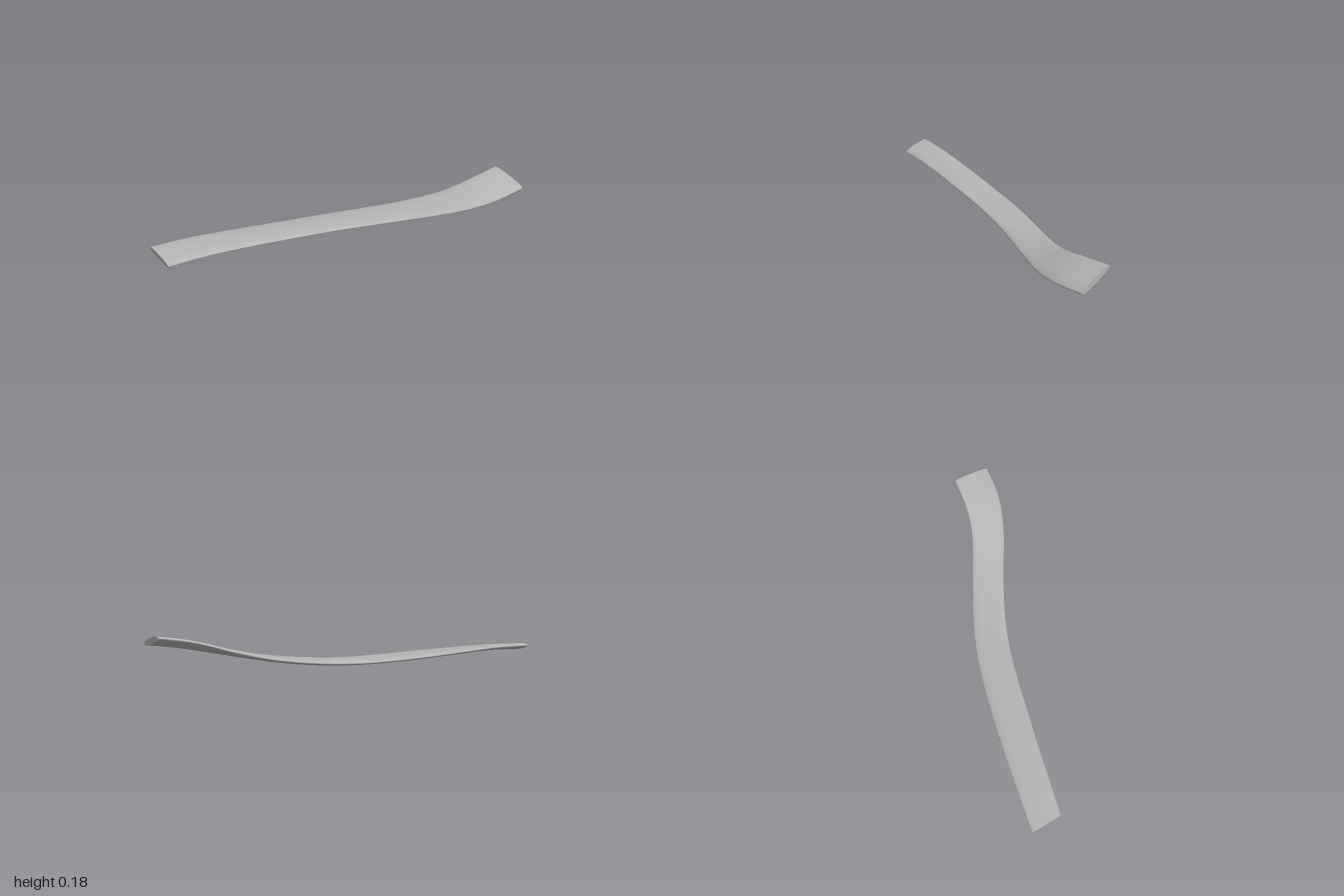
import * as THREE from 'three';

// Edge lines of the blade, from its right end to its left end: [x, y, z]
const FRONT_EDGE = [
  [-0.98, 0.044, -0.167], [-0.8, 0.052, -0.14], [-0.6, 0.047, -0.11], [-0.4, 0.038, -0.075],
  [-0.2, 0.027, -0.04], [0, 0.018, 0.005], [0.2, 0.02, 0.075], [0.4, 0.033, 0.165],
  [0.6, 0.056, 0.262], [0.7, 0.071, 0.302], [0.8, 0.088, 0.33], [0.9, 0.104, 0.342], [1, 0.117, 0.344],
];
const BACK_EDGE = [
  [-1, 0.078, -0.345], [-0.8, 0.074, -0.322], [-0.6, 0.058, -0.298], [-0.4, 0.041, -0.27],
  [-0.2, 0.027, -0.235], [0, 0.02, -0.19], [0.2, 0.025, -0.122], [0.4, 0.045, -0.033],
  [0.6, 0.088, 0.063], [0.7, 0.118, 0.1], [0.8, 0.144, 0.12], [0.9, 0.162, 0.128], [0.975, 0.173, 0.13],
];
const STEPS = 96, SIDES = 40;

const toCurve = (points) =>
  new THREE.CatmullRomCurve3(points.map((p) => new THREE.Vector3(...p)), false, 'centripetal');

// Flattened oval cross-section spanning the two edges
function section(front, back, t) {
  const f = front.getPoint(t), b = back.getPoint(t);
  const middle = f.clone().add(b).multiplyScalar(0.5);
  const half = f.clone().sub(b).multiplyScalar(0.5);
  const up = new THREE.Vector3(0, half.z, -half.y).normalize();
  const thick = THREE.MathUtils.lerp(0.016, 0.018, t);
  const ring = [];
  for (let i = 0; i < SIDES; i++) {
    const a = (i / SIDES) * Math.PI * 2, c = Math.cos(a), s = Math.sin(a);
    const u = Math.sign(c) * Math.abs(c) ** 0.9, v = Math.sign(s) * Math.abs(s) ** 0.9;
    ring.push(middle.clone().addScaledVector(half, u).addScaledVector(up, v * thick));
  }
  return ring;
}

function makeGeometry(points, index) {
  const geometry = new THREE.BufferGeometry().setFromPoints(points);
  geometry.setIndex(index);
  geometry.computeVertexNormals();
  return geometry;
}

// Smooth skin joining successive cross-sections
function skin(rings) {
  const index = [];
  for (let r = 0; r < rings.length - 1; r++) {
    for (let i = 0; i < SIDES; i++) {
      const j = (i + 1) % SIDES;
      const a = r * SIDES + i, b = r * SIDES + j;
      index.push(a, a + SIDES, b, b, a + SIDES, b + SIDES);
    }
  }
  return makeGeometry(rings.flat(), index);
}

// Flat end face
function cap(ring, flip) {
  const index = [];
  for (let i = 1; i < SIDES - 1; i++) {
    if (flip) index.push(0, i + 1, i);
    else index.push(0, i, i + 1);
  }
  return makeGeometry(ring, index);
}

export function createModel() {
  const group = new THREE.Group();
  group.name = 'curvedBlade';
  const grey = new THREE.MeshStandardMaterial({ color: 0xb4b4b4 });
  grey.name = 'grey';

  const front = toCurve(FRONT_EDGE), back = toCurve(BACK_EDGE);
  const rings = [];
  for (let r = 0; r <= STEPS; r++) rings.push(section(front, back, r / STEPS));

  const add = (name, geometry) => {
    const mesh = new THREE.Mesh(geometry, grey);
    mesh.name = name;
    group.add(mesh);
  };
  add('bladeBody', skin(rings));
  add('rightEnd', cap(rings[0], false));
  add('leftEnd', cap(rings[STEPS], true));
  return group;
}
